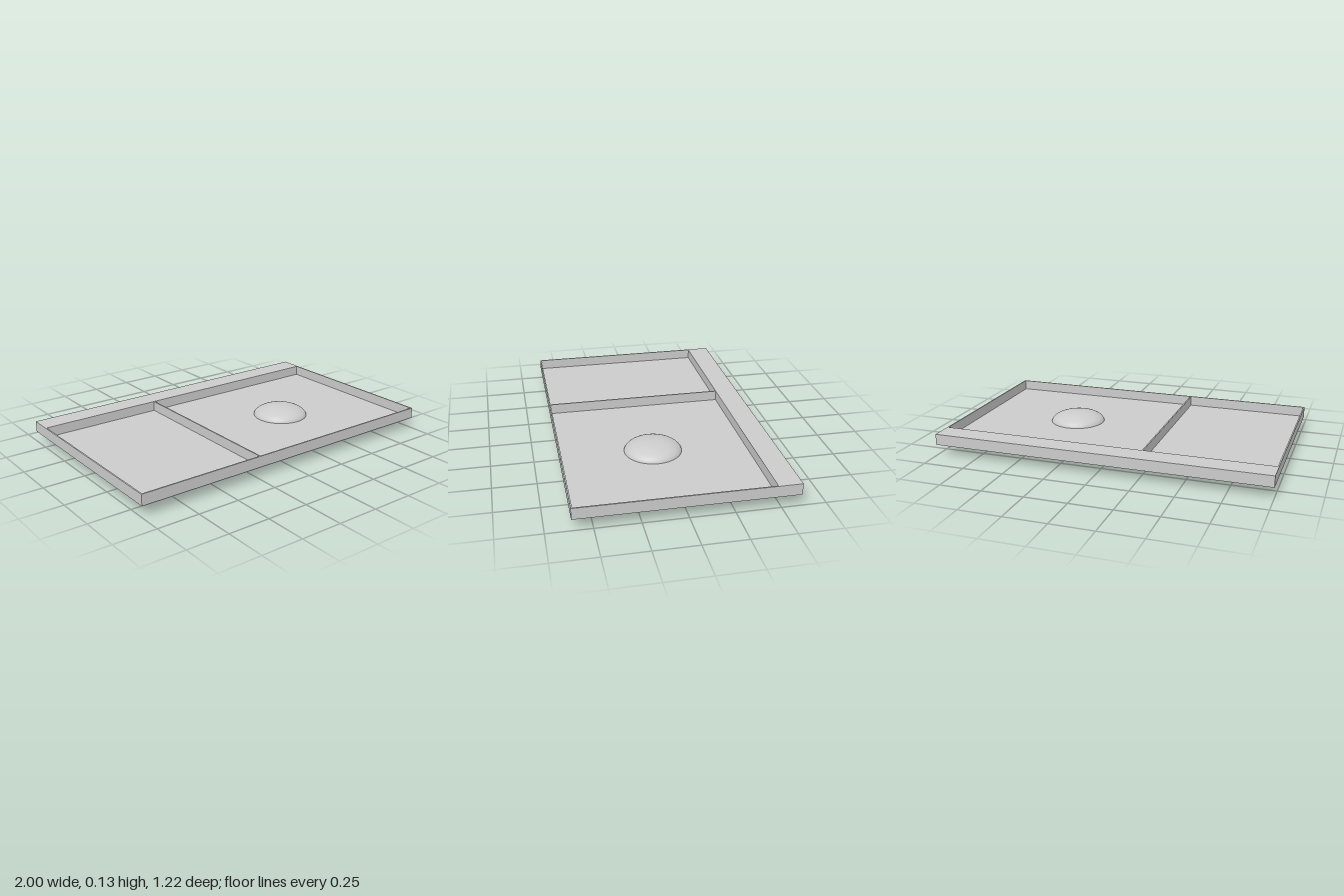
import * as THREE from 'three';

const material = new THREE.MeshStandardMaterial({ color: 0xcccccc });

// Box given by its lower and upper corners
function box(name, x0, x1, y0, y1, z0, z1) {
  const mesh = new THREE.Mesh(new THREE.BoxGeometry(x1 - x0, y1 - y0, z1 - z0), material);
  mesh.position.set((x0 + x1) / 2, (y0 + y1) / 2, (z0 + z1) / 2);
  mesh.name = name;
  return mesh;
}

export function createModel() {
  const group = new THREE.Group();
  group.name = 'dividedTray';

  const X = 1, Z = 0.612;              // half width, half depth
  const bottom = 0.066, top = 0.132;   // underside and rim heights
  const floorTop = 0.071;
  const wall = 0.008;
  const ledgeFront = -0.476;

  // Thin floor and solid ledge along the back
  group.add(box('floor', -X, X, bottom, floorTop, ledgeFront, Z));
  group.add(box('backLedge', -X, X, bottom, top, -Z, ledgeFront));

  // Rim walls
  group.add(box('frontWall', -X, X, floorTop, top, Z - wall, Z));
  group.add(box('leftWall', X - wall, X, floorTop, top, ledgeFront, Z - wall));
  group.add(box('rightWall', -X, -X + wall, floorTop, top, ledgeFront, Z - wall));

  // Divider between the small and the large compartment
  group.add(box('divider', -0.242, -0.234, floorTop, top, ledgeFront, Z - wall));

  // Flattened dome passing through the floor
  const dome = new THREE.Mesh(new THREE.SphereGeometry(0.168, 64, 32), material);
  dome.name = 'dome';
  dome.scale.y = 0.4;
  dome.position.set(0.368, 0.0675, 0.067);
  group.add(dome);

  return group;
}
